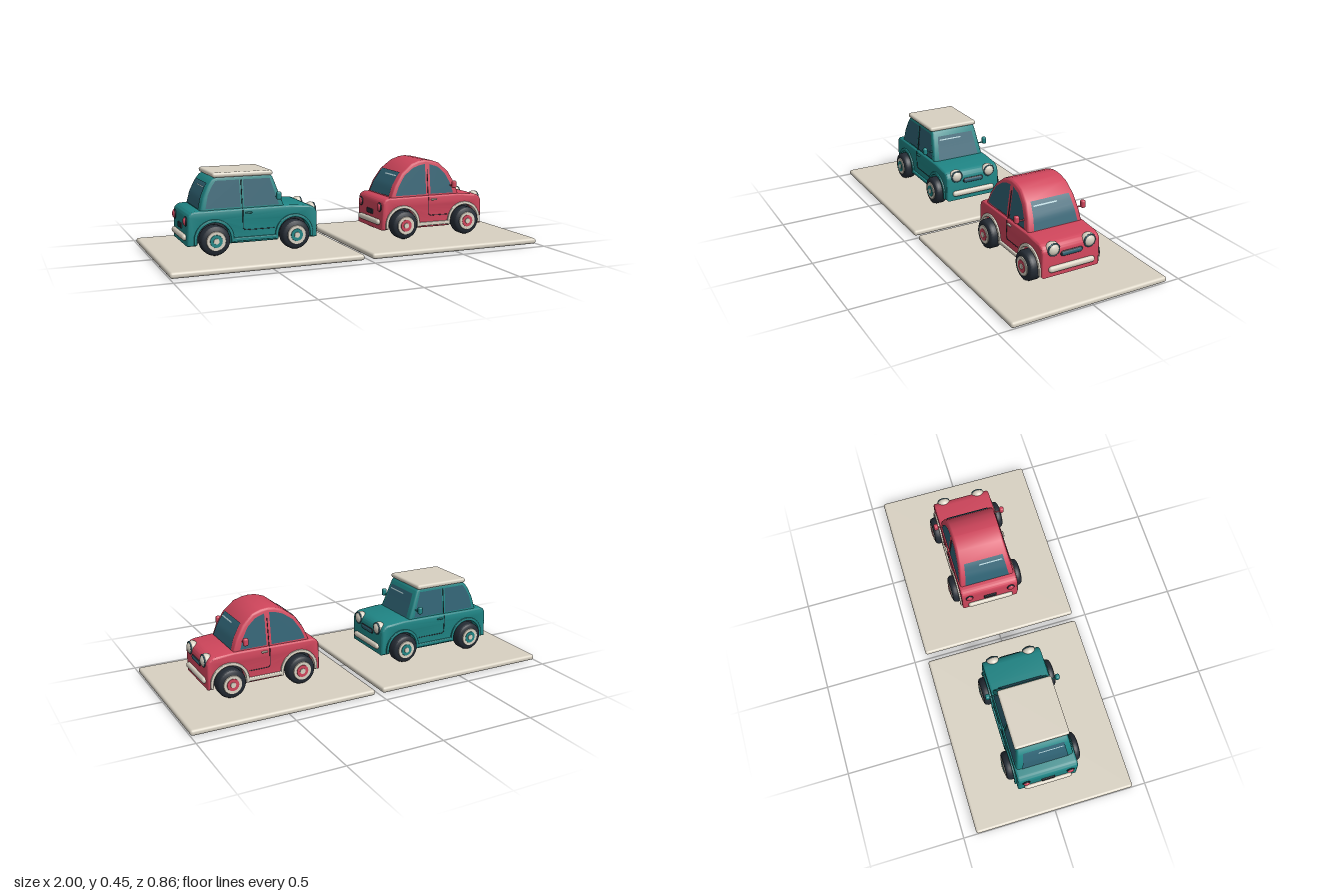
import * as THREE from 'three';
import { toCreasedNormals } from 'three/addons/utils/BufferGeometryUtils.js';
import { RoundedBoxGeometry } from 'three/addons/geometries/RoundedBoxGeometry.js';

const mat = (name, color, side = THREE.FrontSide) => {
  const m = new THREE.MeshStandardMaterial({ color, side });
  m.name = name;
  return m;
};

const BELT = 0.25;
// cabin narrows above the belt line
const taper = y => 1 - 0.8 * Math.max(0, y - BELT);
const half = y => 0.152 * taper(y);

// x of a pillar edge at height y
function edgeX(edge, y) {
  for (let i = 1; i < edge.length; i++) {
    const [x0, y0] = edge[i - 1], [x1, y1] = edge[i];
    if (y <= y1) return x0 + (x1 - x0) * (y - y0) / (y1 - y0);
  }
  return edge[edge.length - 1][0];
}

// bevelled slab of a side profile, centred on z
function slab(shape, halfWidth, bevel) {
  const g = new THREE.ExtrudeGeometry(shape, {
    depth: 2 * (halfWidth - bevel), bevelEnabled: true, bevelThickness: bevel,
    bevelSize: bevel, bevelOffset: -bevel, bevelSegments: 3, curveSegments: 16,
  });
  return g.translate(0, 0, -(halfWidth - bevel));
}

// sheet that follows a pillar edge between two heights
function sheet(edge, dir, offset, y0, y1, zMin, zMax) {
  const pos = [], index = [], n = 8;
  for (let i = 0; i <= n; i++) {
    const y = y0 + (y1 - y0) * i / n, x = edgeX(edge, y) + dir * offset;
    pos.push(x, y, zMin(y), x, y, zMax(y));
    if (i < n) {
      const a = 2 * i;
      if (dir > 0) index.push(a, a + 2, a + 1, a + 1, a + 2, a + 3);
      else index.push(a, a + 1, a + 2, a + 1, a + 3, a + 2);
    }
  }
  const g = new THREE.BufferGeometry();
  g.setAttribute('position', new THREE.Float32BufferAttribute(pos, 3));
  g.setIndex(index);
  g.computeVertexNormals();
  return g;
}

const capsuleZ = (r, length) => new THREE.CapsuleGeometry(r, length - 2 * r, 6, 16).rotateX(Math.PI / 2);

function makeCar(c, M) {
  const car = new THREE.Group();
  car.name = c.name;
  const add = (name, geo, material, x = 0, y = 0, z = 0, parent = car) => {
    const m = new THREE.Mesh(geo, material);
    m.name = name;
    m.position.set(x, y, z);
    parent.add(m);
    return m;
  };
  const { back, front, wheels, paint, trim } = c;
  const R = 0.087, bottom = 0.083, wheelY = 0.11;

  // lower body with cut wheel arches
  const s = new THREE.Shape();
  s.moveTo(back, bottom);
  for (const wx of wheels) {
    s.lineTo(wx - R, bottom);
    s.lineTo(wx - R, wheelY);
    s.absarc(wx, wheelY, R, Math.PI, 0, true);
    s.lineTo(wx + R, bottom);
  }
  s.lineTo(front, bottom);
  s.lineTo(front, 0.205);
  s.quadraticCurveTo(front - 0.003, 0.243, front - 0.045, 0.25);
  s.lineTo(front - 0.14, 0.258);
  s.lineTo(back + 0.04, 0.256);
  s.quadraticCurveTo(back + 0.004, 0.25, back + 0.004, 0.215);
  s.closePath();
  add('body', toCreasedNormals(slab(s, 0.16, 0.01), 0.7), paint);
  add('underbody', new THREE.BoxGeometry(front - back - 0.04, 0.11, 0.24), M.tyre, (front + back) / 2, 0.145);

  // cabin
  const cabinShape = new THREE.Shape(
    [[c.rearEdge[0][0], 0.2], ...c.rearEdge, ...[...c.frontEdge].reverse(), [c.frontEdge[0][0], 0.2]]
      .map(p => new THREE.Vector2(...p)));
  const cabin = slab(cabinShape, 0.152, 0.012);
  const p = cabin.attributes.position;
  for (let i = 0; i < p.count; i++) p.setZ(i, p.getZ(i) * taper(p.getY(i)));
  cabin.computeVertexNormals();
  add('cabin', toCreasedNormals(cabin, 0.6), paint);

  // windscreen and rear window, each with a glint
  for (const [name, edge, dir] of [['windscreen', c.frontEdge, 1], ['rearWindow', c.rearEdge, -1]]) {
    const w = y => half(y) - 0.028;
    add(name, sheet(edge, dir, 0.005, 0.262, 0.387, y => -w(y), w), M.glass);
    add(name + 'Glint', sheet(edge, dir, 0.008, 0.365, 0.371, () => -0.03, () => 0.1), M.glint);
  }

  for (const side of [1, -1]) {
    // side windows, leaning with the cabin
    c.windows.forEach((pts, i) => {
      const g = new THREE.ShapeGeometry(new THREE.Shape(pts.map(q => new THREE.Vector2(...q))));
      const a = g.attributes.position;
      for (let k = 0; k < a.count; k++) a.setZ(k, side * (half(a.getY(k)) + 0.003));
      g.computeVertexNormals();
      add(i ? 'frontSideWindow' : 'rearSideWindow', g, M.glass);
    });

    // door seam and handle
    const dx = c.doorX, ex = wheels[1] - 0.105;
    const seam = new THREE.CurvePath();
    const v = (x, y) => new THREE.Vector3(x, y, side * 0.16);
    seam.add(new THREE.LineCurve3(v(dx, 0.25), v(dx, 0.165)));
    seam.add(new THREE.QuadraticBezierCurve3(v(dx, 0.165), v(dx, 0.148), v(dx + 0.018, 0.148)));
    seam.add(new THREE.LineCurve3(v(dx + 0.018, 0.148), v(ex, 0.148)));
    add('doorSeam', new THREE.TubeGeometry(seam, 40, 0.002, 6), M.tyre);
    add('pillarSeam', new THREE.TubeGeometry(new THREE.LineCurve3(
      new THREE.Vector3(dx, 0.255, side * (half(0.255) + 0.001)),
      new THREE.Vector3(dx, 0.4, side * (half(0.4) + 0.001))), 2, 0.002, 6), M.tyre);
    add('doorHandle', new RoundedBoxGeometry(0.034, 0.008, 0.012, 2, 0.003), trim, dx + 0.03, 0.235, side * 0.164);

    // wheel arch trims and sill
    for (const wx of wheels) {
      const ring = new THREE.Shape();
      ring.absarc(0, 0, 0.102, 0, Math.PI, false);
      ring.lineTo(-0.102, -0.02);
      ring.lineTo(-0.086, -0.02);
      ring.lineTo(-0.086, 0);
      ring.absarc(0, 0, 0.086, Math.PI, 0, true);
      ring.lineTo(0.086, -0.02);
      ring.lineTo(0.102, -0.02);
      ring.closePath();
      add('wheelArch', toCreasedNormals(slab(ring, 0.012, 0.004), 0.6), trim, wx, wheelY, side * 0.157);
    }
    add('sill', new RoundedBoxGeometry(wheels[1] - wheels[0] - 0.18, 0.02, 0.024, 2, 0.005), trim,
      (wheels[0] + wheels[1]) / 2, 0.103, side * 0.157);

    // wheels
    for (const wx of wheels) {
      const wheel = new THREE.Group();
      wheel.name = 'wheel';
      wheel.position.set(wx, wheelY, side * 0.164);
      if (side < 0) wheel.rotation.y = Math.PI;
      car.add(wheel);
      const profile = [[0.001, -0.036], [0.06, -0.036], [0.071, -0.03], [0.076, -0.018], [0.076, 0.018],
        [0.071, 0.03], [0.062, 0.036], [0.001, 0.036]].map(q => new THREE.Vector2(...q));
      const tyre = toCreasedNormals(new THREE.LatheGeometry(profile, 32), 0.6).rotateX(Math.PI / 2);
      add('tyre', tyre, M.tyre, 0, 0, 0, wheel);
      for (const [name, r, z, m] of [['whitewall', 0.05, 0.037, M.cream], ['hub', 0.033, 0.039, paint], ['hubCap', 0.015, 0.042, M.cream]])
        add(name, new THREE.CylinderGeometry(r * 0.95, r, 0.006, 28).rotateX(Math.PI / 2), m, 0, 0, z, wheel);
    }

    // mirrors
    const mx = c.mirrorX;
    add('mirrorArm', new THREE.CylinderGeometry(0.004, 0.004, 0.05, 8).rotateX(Math.PI / 2), paint, mx, 0.305, side * 0.16);
    add('mirror', new RoundedBoxGeometry(0.026, 0.04, 0.024, 3, 0.009), paint, mx, 0.315, side * 0.188);

    // headlights
    add('headlightHousing', new THREE.SphereGeometry(0.036, 24, 16).scale(0.85, 1, 1), M.cream, front - 0.016, 0.222, side * 0.1);
    add('headlightRing', new THREE.TorusGeometry(0.03, 0.004, 8, 28).rotateY(Math.PI / 2), M.glass, front, 0.222, side * 0.1);
    add('headlightLens', new THREE.SphereGeometry(0.028, 24, 16).scale(0.4, 1, 1), M.gold, front, 0.222, side * 0.1);

    // tail lights
    add('tailLightRim', new THREE.SphereGeometry(0.021, 20, 12).scale(0.4, 1.2, 1), M.tyre, back + 0.001, 0.205, side * 0.118);
    add('tailLight', new THREE.SphereGeometry(0.018, 20, 12).scale(0.6, 1.2, 1), M.red, back - 0.001, 0.205, side * 0.118);
  }

  // grille, bumpers and rear plate
  add('grilleFrame', capsuleZ(0.014, 0.124).scale(0.4, 1, 1), M.tyre, front + 0.001, 0.191);
  add('grille', capsuleZ(0.01, 0.112).scale(0.5, 1, 1), M.glass, front + 0.003, 0.191);
  add('frontBumper', capsuleZ(0.016, 0.256).scale(0.8, 1, 1), M.cream, front + 0.005, 0.124);
  add('rearBumper', capsuleZ(0.016, 0.256).scale(0.8, 1, 1), M.cream, back - 0.005, 0.124);
  add('rearPlate', new RoundedBoxGeometry(0.01, 0.026, 0.07, 2, 0.003), M.tyre, back, 0.168);

  // roof slab
  if (c.roof) add('roof', new RoundedBoxGeometry(0.312, 0.025, 0.285, 3, 0.011), M.cream, -0.56, 0.427);
  return car;
}

export function createModel() {
  const model = new THREE.Group();
  const M = {
    teal: mat('teal', 0x1f8585), red: mat('red', 0xd0465c), cream: mat('cream', 0xd8d1c2),
    glass: mat('glass', 0x2f6273, THREE.DoubleSide), tyre: mat('tyre', 0x242b34),
    gold: mat('gold', 0xcda85e), glint: mat('glint', 0xb4d0d6, THREE.DoubleSide),
  };

  // display bases
  for (const side of [-1, 1]) {
    const base = new THREE.Mesh(new RoundedBoxGeometry(0.978, 0.03, 0.86, 4, 0.013), M.cream);
    base.name = 'base';
    base.position.set(side * 0.511, 0.015, 0);
    model.add(base);
  }

  model.add(makeCar({
    name: 'boxyCar', paint: M.teal, trim: M.teal, roof: true,
    back: -0.853, front: -0.172, wheels: [-0.72, -0.30], doorX: -0.57, mirrorX: -0.39,
    rearEdge: [[-0.785, 0.25], [-0.768, 0.32], [-0.742, 0.375], [-0.72, 0.405], [-0.69, 0.42]],
    frontEdge: [[-0.345, 0.25], [-0.375, 0.33], [-0.402, 0.405], [-0.42, 0.42]],
    windows: [
      [[-0.758, 0.265], [-0.58, 0.265], [-0.58, 0.4], [-0.7, 0.4], [-0.722, 0.372], [-0.743, 0.33]],
      [[-0.56, 0.265], [-0.377, 0.265], [-0.42, 0.4], [-0.56, 0.4]]],
  }, M));

  model.add(makeCar({
    name: 'roundCar', paint: M.red, trim: M.cream, roof: false,
    back: 0.203, front: 0.812, wheels: [0.323, 0.70], doorX: 0.481, mirrorX: 0.62,
    rearEdge: [[0.257, 0.25], [0.284, 0.318], [0.327, 0.382], [0.39, 0.431], [0.435, 0.446], [0.468, 0.45]],
    frontEdge: [[0.673, 0.25], [0.65, 0.318], [0.612, 0.382], [0.556, 0.431], [0.51, 0.446], [0.472, 0.45]],
    windows: [
      [[0.283, 0.265], [0.468, 0.265], [0.468, 0.428], [0.43, 0.422], [0.395, 0.41], [0.342, 0.372], [0.304, 0.315]],
      [[0.495, 0.265], [0.635, 0.265], [0.62, 0.315], [0.588, 0.372], [0.545, 0.41], [0.495, 0.426]]],
  }, M));
  return model;
}
